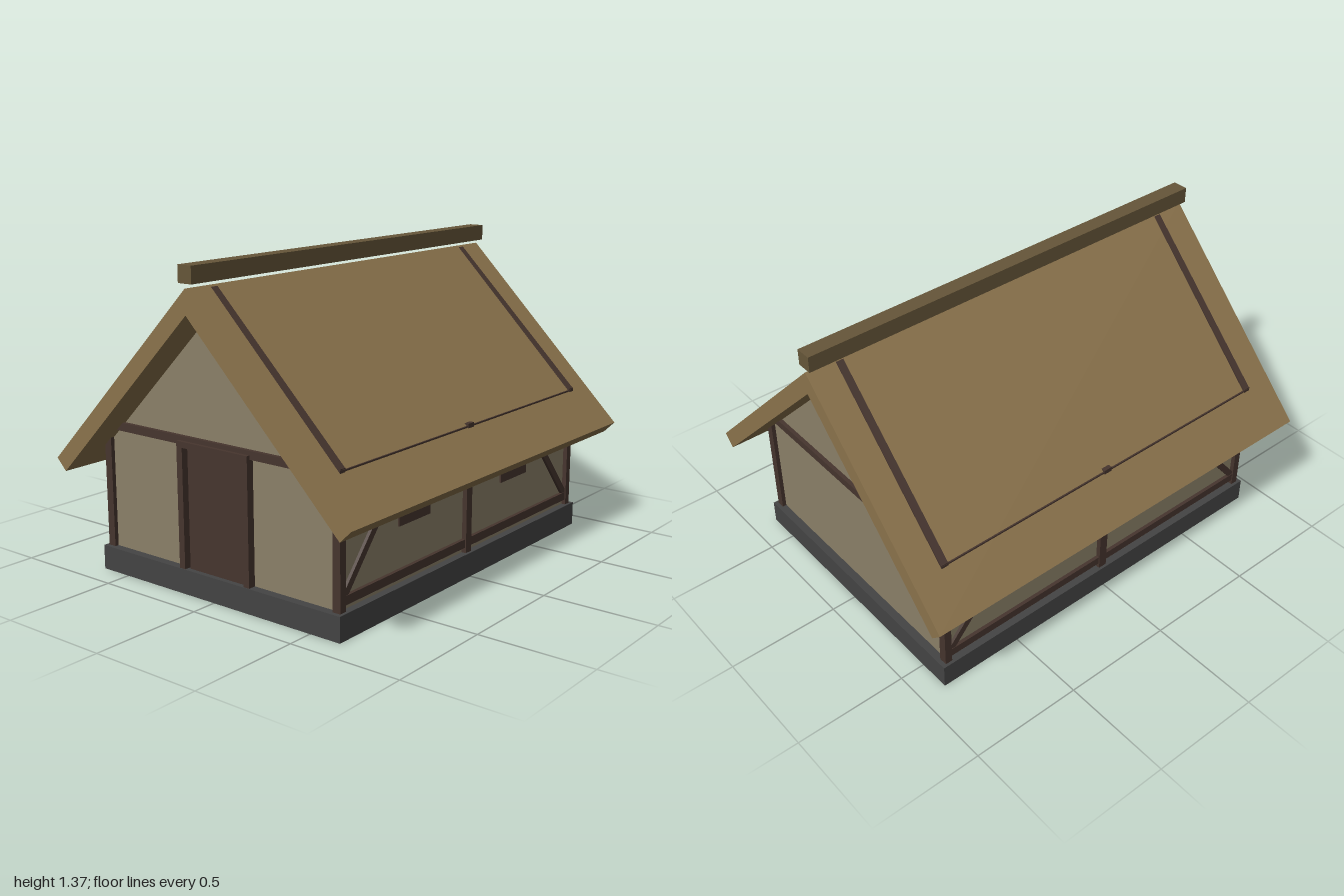
import * as THREE from 'three';

export function createModel() {
  const house = new THREE.Group();
  house.name = 'timberCottage';

  const material = (name, color) => {
    const m = new THREE.MeshStandardMaterial({ color });
    m.name = name;
    return m;
  };
  const stone = material('stone', 0x444444);
  const plaster = material('plaster', 0x8b8068);
  const timber = material('timber', 0x46352e);
  const thatch = material('thatch', 0x8b734c);
  const ridgeWood = material('ridgeThatch', 0x665639);

  const add = (name, geometry, mat) => {
    const mesh = new THREE.Mesh(geometry, mat);
    mesh.name = name;
    house.add(mesh);
    return mesh;
  };

  // Box given by its lower and upper limits on each axis
  const block = (name, mat, [x0, x1], [y0, y1], [z0, z1]) => {
    const mesh = add(name, new THREE.BoxGeometry(x1 - x0, y1 - y0, z1 - z0), mat);
    mesh.position.set((x0 + x1) / 2, (y0 + y1) / 2, (z0 + z1) / 2);
    return mesh;
  };
  // Limits mirrored to the chosen side
  const sided = (s, a, b) => (s > 0 ? [a, b] : [-b, -a]);

  // Outline in x and y, extruded along z and centred
  const prism = (name, mat, points, depth) => {
    const shape = new THREE.Shape(points.map(([x, y]) => new THREE.Vector2(x, y)));
    const g = new THREE.ExtrudeGeometry(shape, { depth, bevelEnabled: false });
    g.translate(0, 0, -depth / 2);
    return add(name, g, mat);
  };

  // Foundation, walls with gables, thatched roof and ridge
  block('foundation', stone, [-0.645, 0.645], [0, 0.106], [-0.887, 0.887]);
  prism('walls', plaster, [
    [-0.612, 0.1], [0.612, 0.1], [0.612, 0.615], [0, 1.23], [-0.612, 0.615],
  ], 1.7);
  prism('roof', thatch, [
    [0, 1.282], [-0.785, 0.495], [-0.735, 0.445],
    [0, 1.18], [0.735, 0.445], [0.785, 0.495],
  ], 2);
  block('ridge', ridgeWood, [-0.035, 0.035], [1.3, 1.37], [-1, 1]);

  // Corner posts, gable beams and rafters
  for (const z of [-1, 1]) {
    const depth = sided(z, 0.835, 0.868);
    block('gableBeam', timber, [-0.6, 0.6], [0.625, 0.66], depth);
    for (const x of [-1, 1]) {
      block('cornerPost', timber, sided(x, 0.595, 0.632), [0.106, 0.665], depth);
      // Rafter just breaking through the roof surface
      const dx = -0.623, dy = 0.615, length = Math.hypot(dx, dy);
      const rafter = add('rafter', new THREE.BoxGeometry(length, 0.035, 0.033), timber);
      rafter.position.set(
        x * (0.3215 - 0.0175 * dy / length),
        0.9675 + 0.0175 * dx / length,
        z * 0.8515,
      );
      rafter.rotation.z = x * Math.atan2(dy, dx);
    }
  }

  // Framing and windows of the long walls
  for (const x of [-1, 1]) {
    block('wallPlate', timber, sided(x, 0.595, 0.63), [0.62, 0.657], [-0.84, 0.84]);
    block('sillRail', timber, sided(x, 0.595, 0.628), [0.129, 0.166], [-0.84, 0.84]);
    block('middlePost', timber, sided(x, 0.6, 0.633), [0.106, 0.667], [-0.02, 0.02]);
    for (const z of [-1, 1]) {
      block('window', timber, sided(x, 0.605, 0.62), [0.343, 0.545], sided(z, 0.27, 0.48));
      // Diagonal brace from the foot of the corner post to the wall plate
      const dz = -0.395, dy = 0.465;
      const brace = add('brace', new THREE.BoxGeometry(0.025, 0.03, Math.hypot(dz, dy)), timber);
      brace.position.set(x * 0.613, 0.395, z * 0.635);
      brace.rotation.x = z * Math.atan2(dy, -dz);
    }
  }

  // Front door with its frame
  block('door', timber, [-0.148, 0.148], [0.106, 0.62], [0.845, 0.865]);
  for (const x of [-1, 1]) {
    block('doorJamb', timber, sided(x, 0.16, 0.19), [0.106, 0.64], [0.84, 0.884]);
  }
  block('doorLintel', timber, [-0.19, 0.19], [0.617, 0.642], [0.84, 0.884]);

  return house;
}
